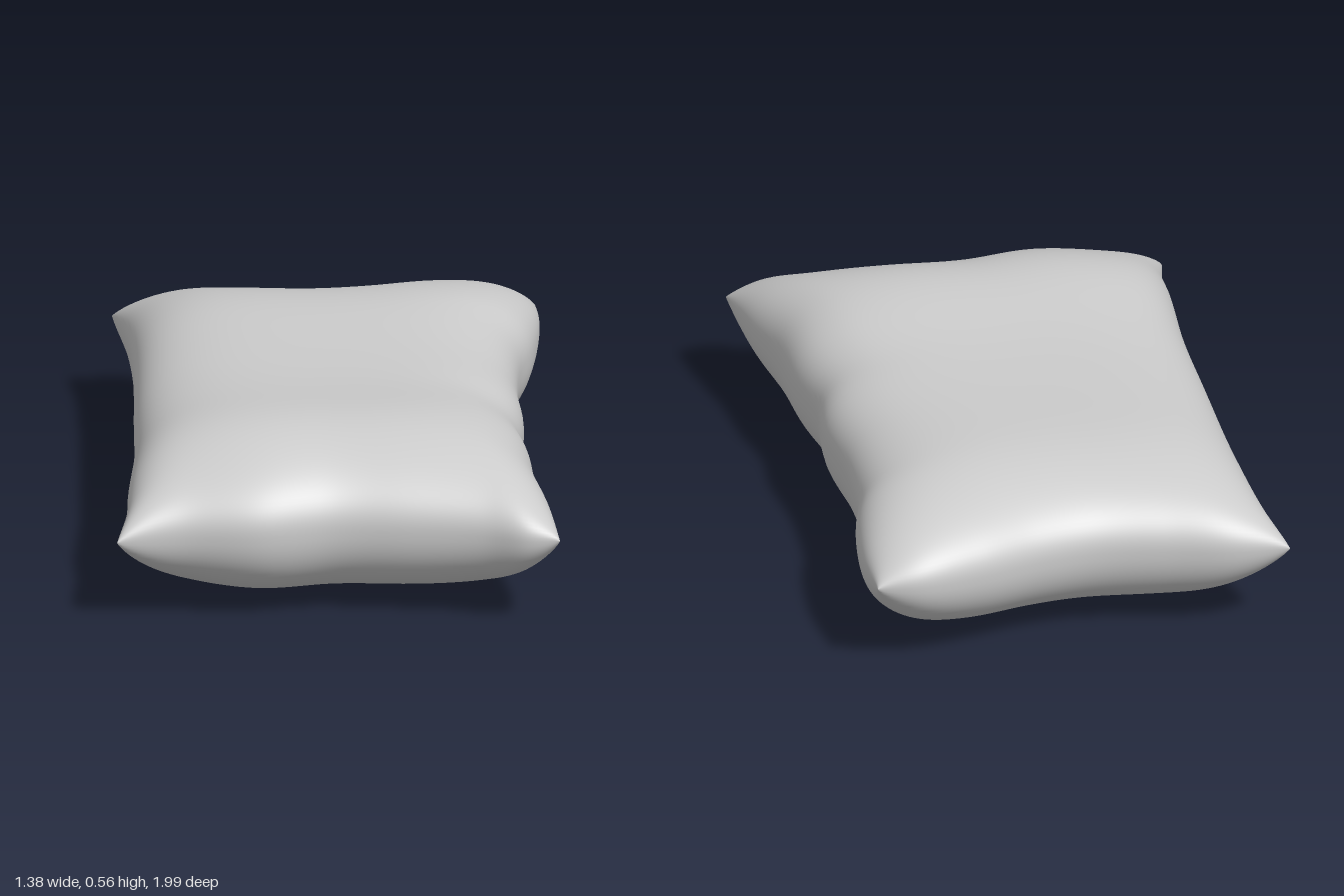
import * as THREE from 'three';
import { mergeGeometries, mergeVertices } from 'three/addons/utils/BufferGeometryUtils.js';

const SEGMENTS = 72;

// Seam curves in plan, given as [x, z] points
const seam = (points) => new THREE.CatmullRomCurve3(points.map(([x, z]) => new THREE.Vector3(x, 0, z)));

const rightSeam = seam([[-0.68, -0.97], [-0.645, -0.8], [-0.625, -0.5], [-0.63, 0], [-0.635, 0.3],
  [-0.66, 0.6], [-0.67, 0.78], [-0.7, 0.93]]);
const leftSeam = seam([[0.645, -0.98], [0.655, -0.8], [0.63, -0.6], [0.59, -0.45], [0.575, -0.2],
  [0.59, 0.05], [0.575, 0.2], [0.605, 0.4], [0.62, 0.6], [0.66, 0.8], [0.685, 0.99]]);
const backSeam = seam([[-0.68, -0.97], [-0.5, -0.965], [-0.3, -0.92], [-0.08, -0.89], [0.1, -0.91],
  [0.3, -0.965], [0.5, -1], [0.645, -0.98]]);
const frontSeam = seam([[-0.7, 0.93], [-0.5, 0.9], [-0.25, 0.92], [-0.02, 0.88], [0.2, 0.9],
  [0.45, 0.94], [0.58, 0.99], [0.685, 0.99]]);

// Blend the four seams into a point inside the outline (s, t from 0 to 1)
function planPoint(s, t) {
  const p = new THREE.Vector3();
  const add = (q, weight) => p.addScaledVector(q, weight);
  const back = backSeam.getPointAt(s), front = frontSeam.getPointAt(s);
  const right = rightSeam.getPointAt(t), left = leftSeam.getPointAt(t);
  add(back, 1 - t); add(front, t); add(right, 1 - s); add(left, s);
  add(rightSeam.points[0], -(1 - s) * (1 - t));
  add(leftSeam.points[0], -s * (1 - t));
  add(rightSeam.points.at(-1), -(1 - s) * t);
  add(leftSeam.points.at(-1), -s * t);
  return p;
}

const bump = (d, width) => Math.exp(-((d / width) ** 2));

// One inflated sheet of the cover: side is 1 for the top, -1 for the underside
function sheet(side) {
  const geometry = new THREE.PlaneGeometry(2, 2, SEGMENTS, SEGMENTS).rotateX(-side * Math.PI / 2);
  geometry.deleteAttribute('uv');
  geometry.deleteAttribute('normal');
  const position = geometry.attributes.position;
  for (let i = 0; i < position.count; i++) {
    // rows crowd towards the seams so the rounded rim stays smooth
    const u = Math.sin(position.getX(i) * Math.PI / 2);
    const v = Math.sin(position.getZ(i) * Math.PI / 2);
    const p = planPoint((u + 1) / 2, (v + 1) / 2);
    const fullness = Math.max(0, (1 - u ** 4) * (1 - v ** 4)) ** 0.45;
    // the filling gathers into a hump near the front and a slighter one at the back
    const height = side > 0
      ? 0.22 + 0.05 * bump(p.z - 0.6, 0.33) * (0.9 + 0.1 * bump(p.x - 0.2, 0.3)) + 0.013 * bump(p.z + 0.6, 0.25)
      : 0.307;
    position.setXYZ(i, p.x, 0.309 + 0.01 * u * v * v + side * height * fullness, p.z);
  }
  return geometry;
}

export function createModel() {
  const group = new THREE.Group();
  group.name = 'pillow';

  // Top and underside joined along the seam
  const geometry = mergeVertices(mergeGeometries([sheet(1), sheet(-1)]), 1e-5);
  geometry.computeVertexNormals();
  const cushion = new THREE.Mesh(geometry, new THREE.MeshStandardMaterial({ color: 0xcccccc }));
  cushion.name = 'cushion';
  group.add(cushion);
  return group;
}
